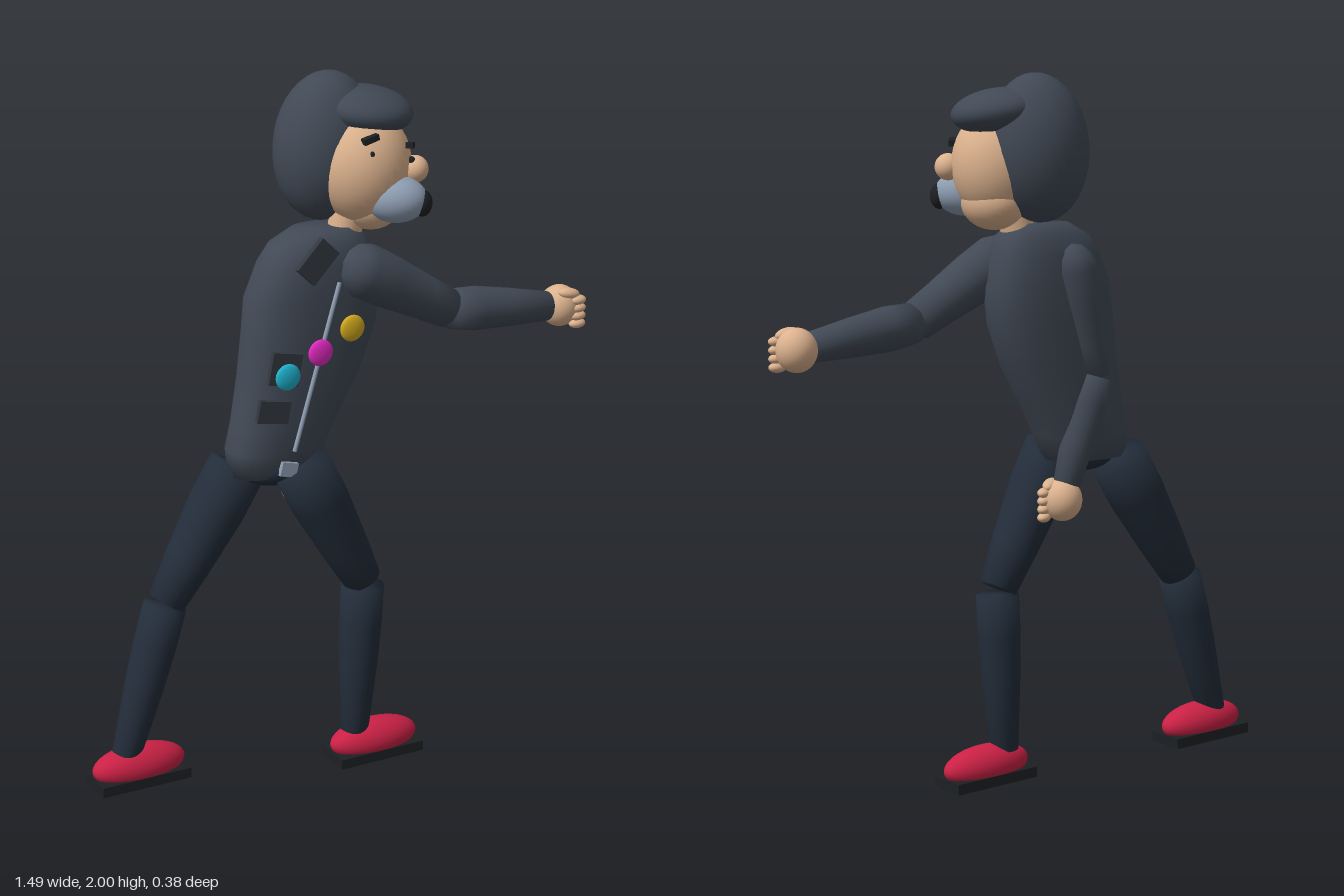
import * as THREE from 'three';

const V = (x, y, z) => new THREE.Vector3(x, y, z);
const mat = (color) => new THREE.MeshStandardMaterial({ color, side: THREE.DoubleSide });

export function createModel() {
  const model = new THREE.Group();
  const jacket = mat(0x414955), trousers = mat(0x232d3a), skin = mat(0xdcb28e);
  const red = mat(0xcb2145), black = mat(0x1d2023), panel = mat(0x33383f), grey = mat(0x8e9db2);

  const add = (name, geometry, material, p, rot = [0, 0, 0], parent = model) => {
    const mesh = new THREE.Mesh(geometry, material);
    mesh.name = name;
    mesh.position.set(...p);
    mesh.rotation.set(...rot);
    parent.add(mesh);
    return mesh;
  };
  const ellipsoid = (name, material, p, r, rot, parent) =>
    add(name, new THREE.SphereGeometry(1, 32, 20).scale(...r), material, p, rot, parent);
  const box = (name, material, p, size, rot, parent) =>
    add(name, new THREE.BoxGeometry(...size), material, p, rot, parent);

  // Turned limb from a to b; profile lists [fraction of length, radius]
  const limb = (name, material, a, b, profile) => {
    const length = a.distanceTo(b);
    const pts = profile.map(([t, r]) => new THREE.Vector2(r, t * length));
    const mesh = add(name, new THREE.LatheGeometry(pts, 28), material, a.toArray());
    mesh.quaternion.setFromUnitVectors(V(0, 1, 0), b.clone().sub(a).normalize());
    return mesh;
  };

  // Leaning torso lofted from rounded sections: [y, centre x, half width, half depth]
  const sections = [
    [0.93, -0.2, 0.0, 0.0], [0.93, -0.2, 0.125, 0.08], [1.0, -0.185, 0.145, 0.09],
    [1.08, -0.155, 0.155, 0.095], [1.2, -0.11, 0.18, 0.1], [1.32, -0.08, 0.195, 0.105],
    [1.42, -0.07, 0.195, 0.105], [1.51, -0.06, 0.165, 0.1], [1.56, -0.05, 0.14, 0.085],
    [1.595, -0.04, 0.085, 0.06], [1.595, -0.04, 0.0, 0.0],
  ];
  const torsoGeo = new THREE.CylinderGeometry(1, 1, 1, 36, sections.length - 1, true);
  const pos = torsoGeo.attributes.position;
  for (let i = 0; i < pos.count; i++) {
    const row = sections.length - 1 - Math.floor(i / 37);
    const [y, cx, w, d] = sections[row];
    const a = ((i % 37) / 36) * Math.PI * 2;
    const soft = (v) => Math.sign(v) * Math.pow(Math.abs(v), 0.8);
    pos.setXYZ(i, cx + w * soft(Math.sin(a)), y, d * soft(Math.cos(a)));
  }
  torsoGeo.computeVertexNormals();
  add('torso', torsoGeo, jacket, [0, 0, 0]);
  ellipsoid('pelvis', trousers, [-0.2, 0.94, 0.01], [0.1, 0.05, 0.08]);

  // Legs: hip, knee, ankle and shoe centre
  const thighShape = [[0, 0], [0, 0.082], [0.3, 0.082], [0.7, 0.068], [1, 0.054], [1, 0]];
  const shinShape = [[0, 0], [0, 0.061], [0.25, 0.061], [0.5, 0.056], [1, 0.04], [1, 0]];
  const legs = [
    ['left', V(-0.15, 0.955, 0.077), V(0.05, 0.57, 0.07), V(0.052, 0.55, 0.07), V(0.025, 0.1, 0.075), [0.085, 0.063, 0.08]],
    ['right', V(-0.275, 0.93, -0.055), V(-0.5, 0.57, -0.06), V(-0.505, 0.56, -0.06), V(-0.65, 0.13, -0.04), [-0.61, 0.108, -0.037]],
  ];
  for (const [side, hip, knee, shinTop, ankle, shoe] of legs) {
    limb(side + 'Thigh', trousers, hip, knee, thighShape);
    limb(side + 'Shin', trousers, shinTop, ankle, shinShape);
    const foot = new THREE.Group();
    foot.name = side + 'Shoe';
    foot.position.set(...shoe);
    foot.rotation.z = -0.03;
    model.add(foot);
    ellipsoid('shoeUpper', red, [0, 0, 0], [0.14, 0.058, 0.06], [0, 0, 0], foot);
    box('shoeSole', black, [0, -0.036, 0], [0.272, 0.03, 0.115], [0, 0, 0], foot);
  }

  // Arms with round shoulders and fists
  const upperShape = [[-0.23, 0], [-0.2, 0.035], [-0.12, 0.062], [0, 0.076], [0.3, 0.073], [0.7, 0.062], [1, 0.056], [1, 0]];
  const foreShape = [[0, 0], [0, 0.056], [0.25, 0.062], [0.6, 0.054], [1, 0.042], [1, 0]];
  const arms = [
    ['left', V(0.035, 1.485, 0.095), V(0.305, 1.335, 0.093), V(0.315, 1.33, 0.093), V(0.64, 1.285, 0.09), [0.685, 1.28, 0.09], 0, 1],
    ['right', V(-0.1, 1.47, -0.09), V(-0.175, 1.17, -0.075), V(-0.175, 1.165, -0.075), V(-0.085, 0.87, -0.07), [-0.07, 0.828, -0.07], 0.6, 0.8],
  ];
  for (const [side, shoulder, elbow, foreTop, wrist, fist, turn, thick] of arms) {
    limb(side + 'UpperArm', jacket, shoulder, elbow, upperShape.map(([t, r]) => [t, r * thick]));
    limb(side + 'Forearm', jacket, foreTop, wrist, foreShape.map(([t, r]) => [t, r * (thick + 1) / 2]));
    const hand = new THREE.Group();
    hand.name = side + 'Fist';
    hand.position.set(...fist);
    hand.rotation.y = turn;
    model.add(hand);
    ellipsoid('palm', skin, [0, 0, 0], [0.056, 0.06, 0.056], [0, 0, 0], hand);
    for (let i = 0; i < 4; i++)
      ellipsoid('finger', skin, [0.034, 0.022 - i * 0.023, 0.042], [0.026, 0.014, 0.018], [0, 0, 0], hand);
    ellipsoid('thumb', skin, [0.01, 0.042, 0.032], [0.035, 0.016, 0.02], [0, 0, -0.2], hand);
  }

  // Neck and head, turned half towards the left
  limb('neck', skin, V(0.02, 1.53, 0), V(0.05, 1.67, 0.01), [[0, 0.046], [1, 0.05]]);
  ellipsoid('face', skin, [0.075, 1.755, 0.025], [0.133, 0.155, 0.128]);
  ellipsoid('jaw', skin, [0.095, 1.655, 0.025], [0.085, 0.078, 0.1]);
  ellipsoid('hairBack', jacket, [0.003, 1.8, -0.055], [0.143, 0.203, 0.132], [0, 0, -0.1]);
  ellipsoid('fringe', jacket, [0.098, 1.9, 0], [0.129, 0.062, 0.127], [0.06, 0, -0.12]);
  ellipsoid('nose', skin, [0.187, 1.748, 0.108], [0.037, 0.037, 0.037]);
  ellipsoid('beard', grey, [0.122, 1.676, 0.115], [0.088, 0.064, 0.068], [0, -0.7, 0]);
  ellipsoid('mouth', black, [0.18, 1.667, 0.16], [0.034, 0.036, 0.026], [0, 0.75, 0]);
  // Eyes and brows: [x, y, z, turn, tilt]
  for (const [x, y, z, turn, tilt] of [[0.04, 1.85, 0.122, 0, 0.25], [0.17, 1.815, 0.11, 0.9, -0.2]]) {
    box('brow', black, [x, y, z], [0.045, 0.016, 0.02], [0, turn, tilt]);
    ellipsoid('eye', black, [x, y - 0.04, z + 0.008], [0.01, 0.012, 0.01]);
  }

  // Jacket details
  limb('zip', grey, V(-0.05, 1.47, 0.117), V(-0.19, 1.015, 0.117), [[0, 0], [0, 0.006], [1, 0.006], [1, 0]]);
  box('collarPatch', panel, [-0.112, 1.535, 0.106], [0.11, 0.07, 0.018], [0, 0, 0.8]);
  box('chestPocket', panel, [-0.212, 1.25, 0.106], [0.09, 0.09, 0.014], [0, 0, -0.2]);
  box('lowerPocket', panel, [-0.248, 1.135, 0.106], [0.095, 0.062, 0.014], [0, 0, -0.2]);
  box('buckle', grey, [-0.195, 0.955, 0.088], [0.05, 0.04, 0.02], [0, 0, -0.25]);
  [[-0.215, 1.235, 0x1fb6d2], [-0.115, 1.287, 0xe82bc4], [-0.017, 1.34, 0xd6ac1e]].forEach(([x, y, c]) =>
    ellipsoid('button', mat(c), [x, y, 0.128], [0.037, 0.037, 0.012]));

  return model;
}
